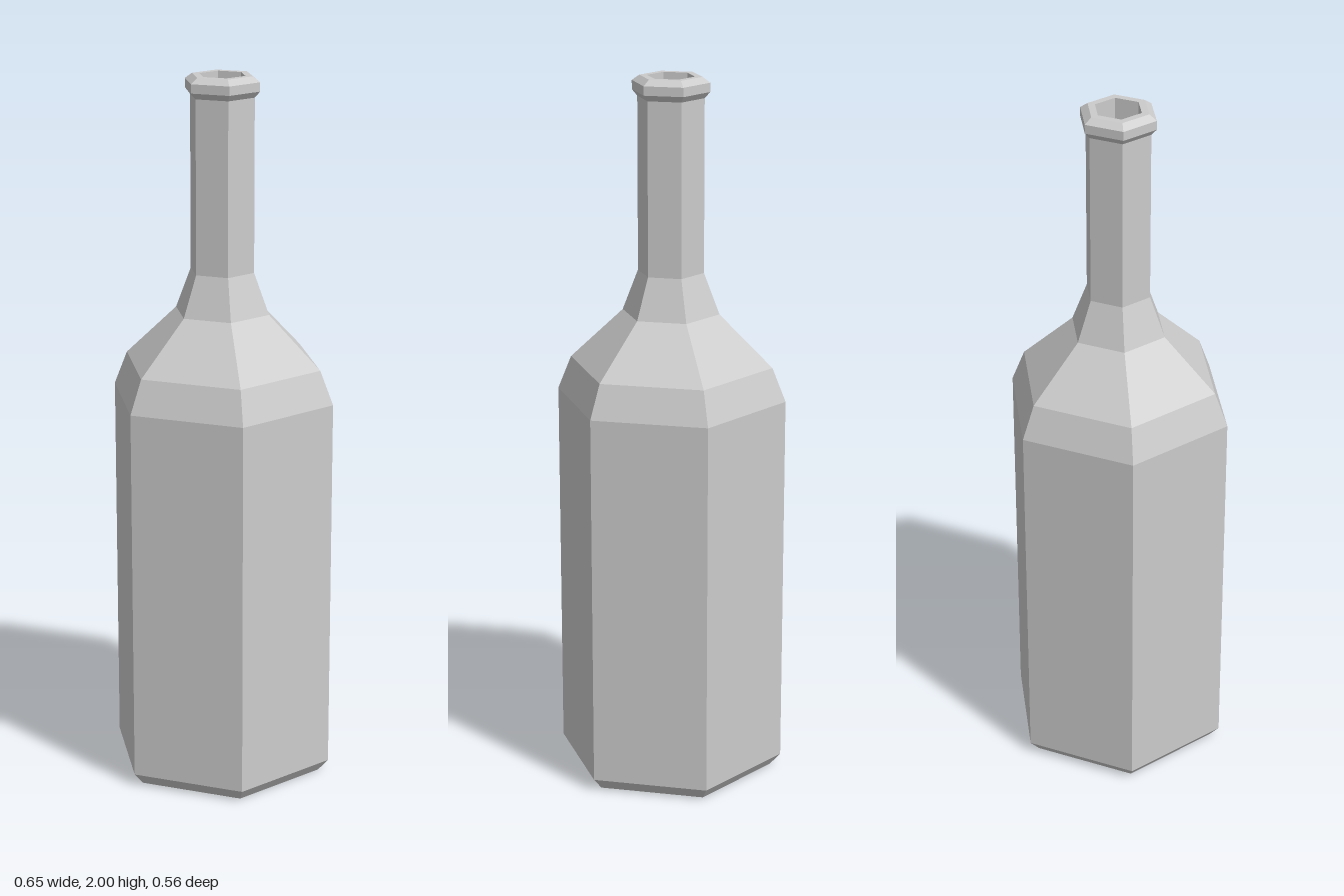
import * as THREE from 'three';

const SIDES = 6;

// Faceted ring surface from [radius, height] pairs, with corners on the x axis
function facetedPart(name, profile, material) {
  const points = profile.map(([r, y]) => new THREE.Vector2(r, y));
  const mesh = new THREE.Mesh(new THREE.LatheGeometry(points, SIDES, Math.PI / 2), material);
  mesh.name = name;
  return mesh;
}

export function createModel() {
  const glass = new THREE.MeshStandardMaterial({ color: 0xcccccc, flatShading: true });
  const bottle = new THREE.Group();
  bottle.name = 'bottle';

  bottle.add(
    // Flat base, small chamfer and straight walls
    facetedPart('body', [[0, 0], [0.295, 0], [0.325, 0.035], [0.325, 1.105]], glass),
    // Sloping shoulder
    facetedPart('shoulder', [[0.325, 1.105], [0.287, 1.2], [0.137, 1.345], [0.093, 1.46]], glass),
    facetedPart('neck', [[0.093, 1.46], [0.093, 1.943]], glass),
    // Chamfered lip around the mouth
    facetedPart('lip', [[0.093, 1.943], [0.108, 1.96], [0.108, 1.985], [0.087, 2], [0.066, 2]], glass),
    // Hollow inside the neck, closed by a floor
    facetedPart('mouth', [[0.066, 2], [0.066, 1.46], [0, 1.46]], glass),
  );
  return bottle;
}
